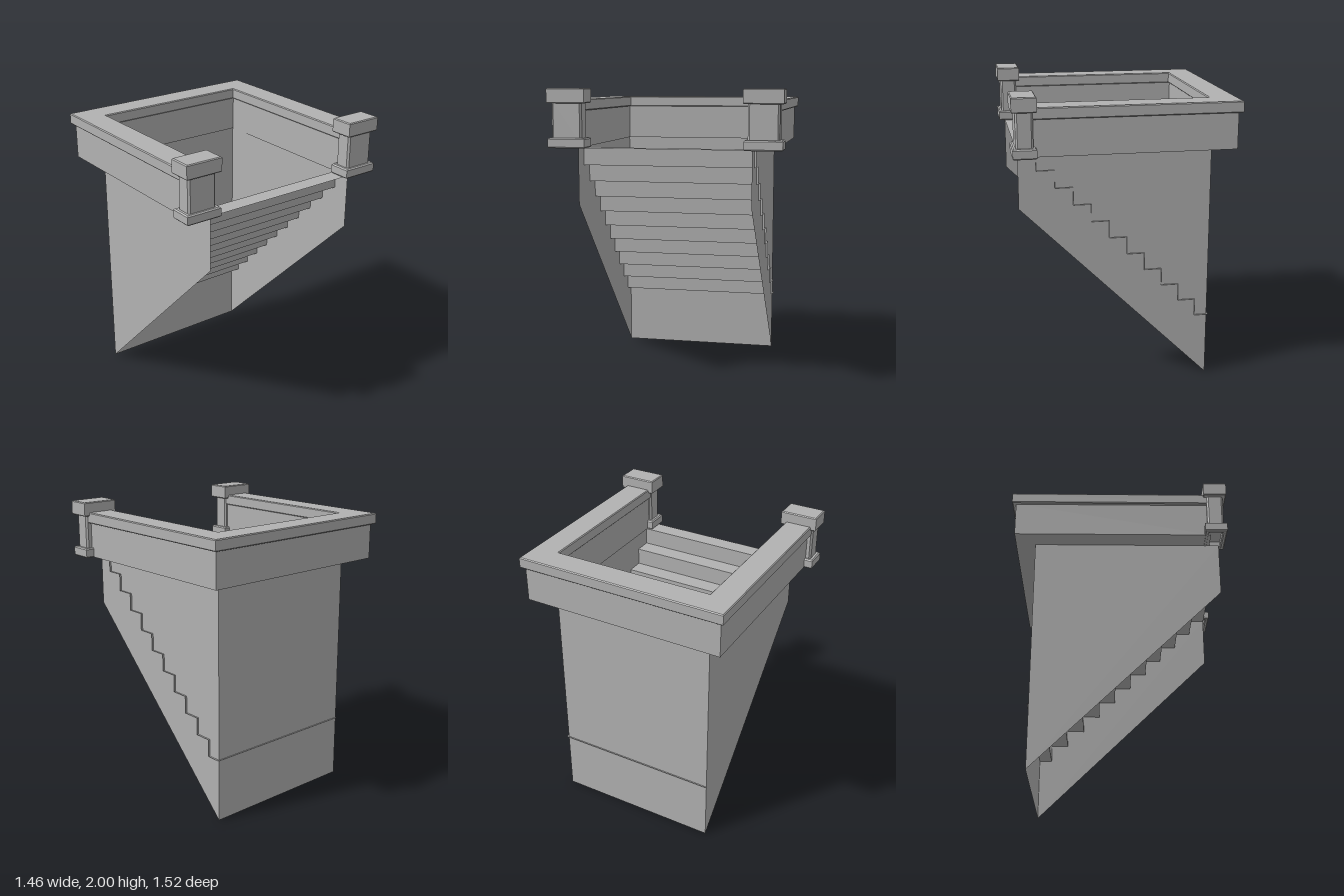
import * as THREE from 'three';

const stone = new THREE.MeshStandardMaterial({ color: 0xb2b2b2, side: THREE.DoubleSide });
stone.name = 'grey stone';

function part(name, geometry) {
  const mesh = new THREE.Mesh(geometry, stone);
  mesh.name = name;
  return mesh;
}

const outline = (pts) => pts.map(([x, y]) => new THREE.Vector2(x, y));

// Upright prism from a plan outline, with small chamfers kept inside the given size
function prism(pts, y0, y1, bevel = 0, hole = null) {
  const shape = new THREE.Shape(outline(pts));
  if (hole) shape.holes.push(new THREE.Path(outline(hole)));
  const geometry = new THREE.ExtrudeGeometry(shape, {
    depth: y1 - y0 - 2 * bevel, bevelEnabled: bevel > 0, bevelSegments: 1,
    bevelSize: bevel, bevelThickness: bevel, bevelOffset: -bevel,
  });
  return geometry.rotateX(-Math.PI / 2).translate(0, y0 + bevel, 0);
}

// Thin folded sheet: an x-y profile swept straight across z
function sheet(profile, z0, z1) {
  const pos = [];
  for (let i = 0; i < profile.length - 1; i++) {
    const [ax, ay] = profile[i], [bx, by] = profile[i + 1];
    pos.push(ax, ay, z0, ax, ay, z1, bx, by, z1, ax, ay, z0, bx, by, z1, bx, by, z0);
  }
  const geometry = new THREE.BufferGeometry();
  geometry.setAttribute('position', new THREE.Float32BufferAttribute(pos, 3));
  geometry.computeVertexNormals();
  return geometry;
}

// U-shaped plan, open towards +x
const uPlan = (outerX, outerZ, innerX, innerZ, end) => [
  [end, -outerZ], [end, -innerZ], [innerX, -innerZ], [innerX, innerZ],
  [end, innerZ], [end, outerZ], [outerX, outerZ], [outerX, -outerZ],
];

const rect = (w, d) => [[-w, -d], [w, -d], [w, d], [-w, d]];

// Square-cut post: hollow foot, chamfered shaft and heavy cap
function makePost() {
  const post = new THREE.Group();
  const w = 0.055, d = 0.1, c = 0.012;
  const shaft = [
    [-w + c, -d], [w - c, -d], [w, -d + c], [w, d - c],
    [w - c, d], [-w + c, d], [-w, d - c], [-w, -d + c],
  ];
  post.add(
    part('postFoot', prism(rect(0.075, 0.123), 1.617, 1.683, 0.008, rect(0.045, 0.09).reverse())),
    part('postShaft', prism(shaft, 1.66, 1.92)),
    part('postCap', prism(rect(0.078, 0.126), 1.905, 2.0, 0.006)),
  );
  return post;
}

export function createModel() {
  const model = new THREE.Group();
  model.name = 'stairwell';

  // Thin side walls with a sloping lower edge
  const wallShape = new THREE.Shape(outline([[-0.578, 0], [0.685, 1.25], [0.685, 1.62], [-0.578, 1.62]]));
  for (const [name, z] of [['leftSideWall', 0.565], ['rightSideWall', -0.565]]) {
    model.add(part(name, new THREE.ShapeGeometry(wallShape).translate(0, 0, z)));
  }
  model.add(part('endWall', sheet([[-0.578, 1.62], [-0.578, 0]], -0.565, 0.565)));

  // Flight of ten steps ending in the top landing
  const steps = 10;
  const profile = [[-0.588, 0.435]];
  for (let i = 0; i < steps; i++) {
    const x = -0.49 + i * 0.1178;
    profile.push([x, 0.435 + i * 0.1182], [x, 0.435 + (i + 1) * 0.1182]);
  }
  profile.push([0.685, 1.617]);
  model.add(part('steps', sheet(profile, -0.578, 0.565)));

  // Parapet and overhanging coping
  model.add(
    part('parapet', prism(uPlan(-0.71, 0.7, -0.565, 0.558, 0.62), 1.618, 1.862)),
    part('coping', prism(uPlan(-0.735, 0.725, -0.553, 0.545, 0.63), 1.856, 1.93, 0.006)),
  );

  // Entrance posts
  for (const [name, z] of [['leftPost', 0.635], ['rightPost', -0.638]]) {
    const post = makePost();
    post.name = name;
    post.position.set(0.651, 0, z);
    model.add(post);
  }
  return model;
}
